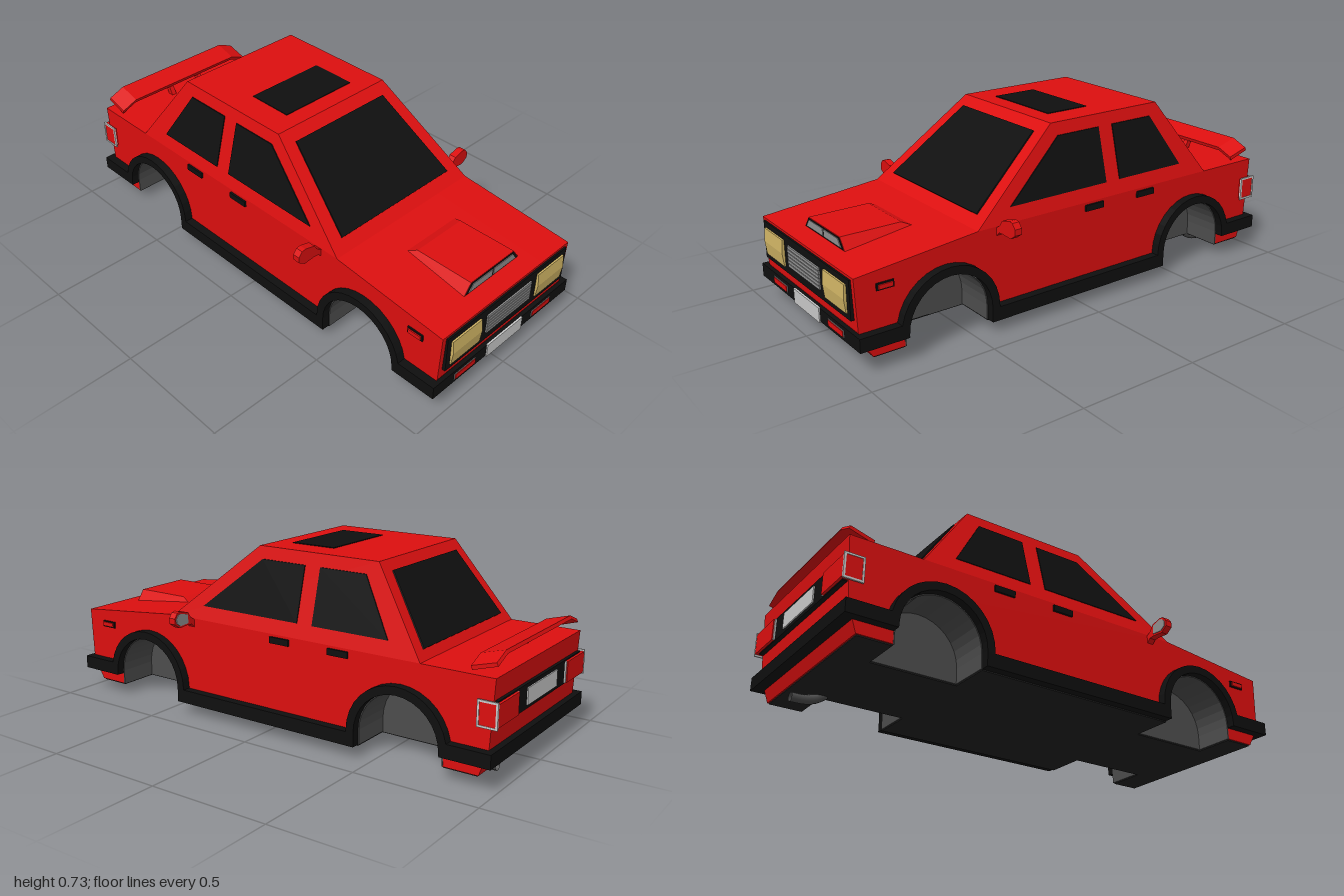
import * as THREE from 'three';

const mat = (name, color) => {
  const m = new THREE.MeshStandardMaterial({ color });
  m.name = name;
  return m;
};

export function createModel() {
  const car = new THREE.Group();
  car.name = 'car';
  const red = mat('red paint', 0xdc0f0f);
  const black = mat('black trim', 0x0f0f0f);
  const floorDark = mat('underbody', 0x222222);
  const wellGrey = mat('wheel well grey', 0x4d4d4d);
  const gold = mat('headlight glass', 0xd0b464);
  const silver = mat('silver', 0xcacaca);
  const grey = mat('grille grey', 0x909090);

  const add = (name, geo, material) => {
    const mesh = new THREE.Mesh(geo, material);
    mesh.name = name;
    car.add(mesh);
    return mesh;
  };
  const toShape = pts => new THREE.Shape(pts.map(p => new THREE.Vector2(p[0], p[1])));

  // Box given by its limits
  const box = (name, m, x0, x1, y0, y1, z0, z1) => {
    const g = new THREE.BoxGeometry(x1 - x0, y1 - y0, z1 - z0);
    g.translate((x0 + x1) / 2, (y0 + y1) / 2, (z0 + z1) / 2);
    return add(name, g, m);
  };
  // The same box on both sides
  const boxes = (name, m, x0, x1, ...r) => {
    box(name + 'Left', m, x0, x1, ...r);
    box(name + 'Right', m, -x1, -x0, ...r);
  };
  // Side outline of (z, y) points extruded across x
  const prismGeo = (shape, x0, x1, steps = 1) => {
    const g = new THREE.ExtrudeGeometry(shape, { depth: x1 - x0, steps, bevelEnabled: false });
    g.rotateY(-Math.PI / 2);
    g.translate(x1, 0, 0);
    return g;
  };
  const prism = (name, m, pts, x0, x1) => add(name, prismGeo(toShape(pts), x0, x1), m);
  const prisms = (name, m, pts, x0, x1) => {
    prism(name + 'Left', m, pts, x0, x1);
    prism(name + 'Right', m, pts, -x1, -x0);
  };
  // Move vertices by a rule and refresh the flat normals
  const bend = (g, rule) => {
    const p = g.attributes.position, v = new THREE.Vector3();
    for (let i = 0; i < p.count; i++) {
      rule(v.fromBufferAttribute(p, i));
      p.setXYZ(i, v.x, v.y, v.z);
    }
    g.computeVertexNormals();
    return g;
  };
  // Prism whose half width depends on height
  const tapered = (name, m, pts, half) =>
    add(name, bend(prismGeo(toShape(pts), -1, 1), v => { v.x *= half(v.y); }), m);
  const ramp = (y0, w0, y1, w1) => y => w0 + (w1 - w0) * (y - y0) / (y1 - y0);

  // Wheel arch outline, rear to front, with straight legs down to y0
  const axles = [-0.614, 0.614];
  const arch = (c, r, y0) => {
    const pts = [[c - r, y0]];
    for (let i = 0; i <= 16; i++) {
      const a = Math.PI * (1 - i / 16);
      pts.push([c + r * Math.cos(a), 0.11 + r * Math.sin(a)]);
    }
    pts.push([c + r, y0]);
    return pts;
  };
  const R = 0.177;

  // Lower body: centre block and two outer slabs with arch openings
  const outline = [[0.92, 0.05], [0.95, 0.1], [0.972, 0.16], [0.98, 0.36], [0.475, 0.41],
    [-0.98, 0.41], [-0.965, 0.15], [-0.93, 0.05]];
  prism('bodyCentre', red, outline, -0.2, 0.2);
  prisms('bodySide', red, [...outline, ...arch(axles[0], R, 0.05), ...arch(axles[1], R, 0.05)], 0.2, 0.37);

  // Underbody
  box('floorCentre', floorDark, -0.2, 0.2, 0.045, 0.051, -0.925, 0.915);
  boxes('floorMiddle', floorDark, 0.2, 0.37, 0.045, 0.051, -0.437, 0.437);
  boxes('floorFront', floorDark, 0.2, 0.365, 0.045, 0.051, 0.791, 0.915);
  boxes('floorRear', floorDark, 0.2, 0.365, 0.045, 0.051, -0.925, -0.791);

  // Wheel wells and black arch trims
  for (const c of axles) {
    const n = c > 0 ? 'front' : 'rear';
    prisms(n + 'WellWall', wellGrey, arch(c, R, 0.05), 0.198, 0.204);
    prisms(n + 'WellLiner', wellGrey, [...arch(c, R + 0.001, 0.05), ...arch(c, R - 0.004, 0.05).reverse()], 0.2, 0.371);
    prisms(n + 'ArchTrim', black, [...arch(c, 0.21, 0.1), ...arch(c, R, 0.1).reverse()], 0.365, 0.405);
  }
  boxes('sideSkirt', black, 0.36, 0.405, 0.05, 0.105, -0.437, 0.437);

  // Cabin
  const cabinHalf = ramp(0.41, 0.37, 0.73, 0.287);
  tapered('cabin', red, [[0.475, 0.41], [0.08, 0.73], [-0.465, 0.73], [-0.69, 0.41]], cabinHalf);
  box('sunroof', black, -0.175, 0.175, 0.727, 0.733, -0.19, 0.005);
  // Glass plates lying on the sloped screens
  const screen = (name, a, b, n, half) => tapered(name, black,
    [a, b, [b[0] + n[0], b[1] + n[1]], [a[0] + n[0], a[1] + n[1]]], half);
  screen('windscreen', [0.432, 0.445], [0.123, 0.695], [0.003, 0.004], ramp(0.445, 0.303, 0.695, 0.24));
  screen('rearScreen', [-0.667, 0.443], [-0.492, 0.692], [-0.004, 0.003], ramp(0.443, 0.31, 0.692, 0.24));
  const sideGlass = {
    frontWindow: [[0.32, 0.467], [-0.147, 0.467], [-0.147, 0.681], [0.056, 0.681]],
    rearWindow: [[-0.217, 0.467], [-0.55, 0.467], [-0.42, 0.681], [-0.217, 0.681]],
  };
  for (const [name, pts] of Object.entries(sideGlass))
    for (const s of [1, -1])
      add(name + (s > 0 ? 'Left' : 'Right'),
        bend(prismGeo(toShape(pts), -0.004, 0.004), v => { v.x += s * cabinHalf(v.y); }), black);

  // Door handles and side markers
  boxes('frontHandle', black, 0.365, 0.379, 0.375, 0.4, -0.12, -0.03);
  boxes('rearHandle', black, 0.365, 0.379, 0.375, 0.4, -0.39, -0.3);
  boxes('markerFrame', black, 0.365, 0.376, 0.295, 0.322, 0.828, 0.897);
  boxes('marker', red, 0.37, 0.381, 0.3, 0.317, 0.834, 0.891);

  // Bumpers
  box('frontBumper', black, -0.405, 0.405, 0.098, 0.152, 0.792, 0.986);
  box('rearBumper', black, -0.405, 0.405, 0.098, 0.152, -0.99, -0.792);
  boxes('fogLampFrame', grey, 0.17, 0.29, 0.11, 0.138, 0.98, 0.988);
  boxes('fogLamp', red, 0.174, 0.286, 0.113, 0.135, 0.98, 0.991);
  box('frontPlate', silver, -0.105, 0.105, 0.095, 0.154, 0.984, 0.991);

  // Front panel, headlights and grille
  box('frontPanel', black, -0.35, 0.35, 0.198, 0.35, 0.965, 0.987);
  prisms('headlight', gold, [[0.98, 0.22], [0.992, 0.22], [0.999, 0.275], [0.994, 0.328], [0.98, 0.328]], 0.167, 0.328);
  for (let i = 0; i < 6; i++)
    box('grilleSlat' + (i + 1), grey, -0.13, 0.13, 0.235 + i * 0.0145, 0.2465 + i * 0.0145, 0.98, 0.993);

  // Bonnet scoop with split intake
  tapered('bonnetScoop', red, [[0.9, 0.36], [0.9, 0.413], [0.65, 0.413], [0.605, 0.393]], ramp(0.37, 0.157, 0.413, 0.125));
  const front = (name, m, pts, z, depth) => {
    const g = new THREE.ExtrudeGeometry(toShape(pts), { depth, bevelEnabled: false });
    return add(name, g.translate(0, 0, z), m);
  };
  front('intakeFrame', black, [[-0.152, 0.371], [0.152, 0.371], [0.124, 0.41], [-0.124, 0.41]], 0.898, 0.004);
  for (const s of [1, -1])
    front('intake' + (s > 0 ? 'Left' : 'Right'), grey,
      [[s * 0.004, 0.376], [s * 0.138, 0.376], [s * 0.115, 0.405], [s * 0.004, 0.405]], 0.9, 0.005);

  // Door mirrors
  const shell = [[0.36, 0.4], [0.37, 0.375], [0.385, 0.39], [0.41, 0.392], [0.455, 0.388], [0.483, 0.408],
    [0.483, 0.432], [0.467, 0.452], [0.45, 0.455], [0.405, 0.443], [0.39, 0.42]];
  const glass = [[0.408, 0.4], [0.453, 0.396], [0.475, 0.411], [0.475, 0.43], [0.463, 0.445], [0.45, 0.447], [0.41, 0.436]];
  for (const s of [1, -1]) {
    const flip = pts => pts.map(([x, y]) => [s * x, y]);
    const n = s > 0 ? 'Left' : 'Right';
    front('mirror' + n, red, flip(shell), 0.363, 0.03);
    front('mirrorGlass' + n, grey, flip(glass), 0.36, 0.005);
  }

  // Rear panel, number plate and wrap-round lamps
  box('rearPanel', black, -0.36, 0.36, 0.235, 0.33, -0.988, -0.96);
  box('rearPlate', silver, -0.13, 0.13, 0.25, 0.315, -0.993, -0.985);
  boxes('tailLamp', red, 0.215, 0.383, 0.24, 0.325, -0.998, -0.925);
  boxes('tailLampEdge', silver, 0.208, 0.215, 0.24, 0.325, -0.994, -0.98);
  const frame = toShape([[-0.999, 0.233], [-0.92, 0.233], [-0.92, 0.332], [-0.999, 0.332]]);
  frame.holes.push(toShape([[-0.991, 0.241], [-0.928, 0.241], [-0.928, 0.324], [-0.991, 0.324]]));
  add('lampFrameLeft', prismGeo(frame, 0.378, 0.385), silver);
  add('lampFrameRight', prismGeo(frame, -0.385, -0.378), silver);

  // Boot spoiler with drooping ends on two stems
  const wing = toShape([[-0.875, 0.46], [-0.97, 0.487], [-0.976, 0.474], [-0.88, 0.445]]);
  add('spoiler', bend(prismGeo(wing, -0.35, 0.35, 10), v => {
    v.y -= Math.max(0, Math.abs(v.x) - 0.28) * 0.4;
  }), red);
  prisms('spoilerStem', red, [[-0.86, 0.405], [-0.885, 0.405], [-0.915, 0.462], [-0.885, 0.455]], 0.068, 0.09);

  // Exhaust pipe
  const path = new THREE.CatmullRomCurve3([[-0.78, 0.055], [-0.82, 0.03], [-0.86, 0.02], [-0.915, 0.018]]
    .map(([z, y]) => new THREE.Vector3(0.183, y, z)));
  const pipe = wellGrey.clone();
  pipe.name = 'exhaust grey';
  pipe.side = THREE.DoubleSide;
  add('exhaust', new THREE.TubeGeometry(path, 10, 0.018, 10), pipe);

  return car;
}
